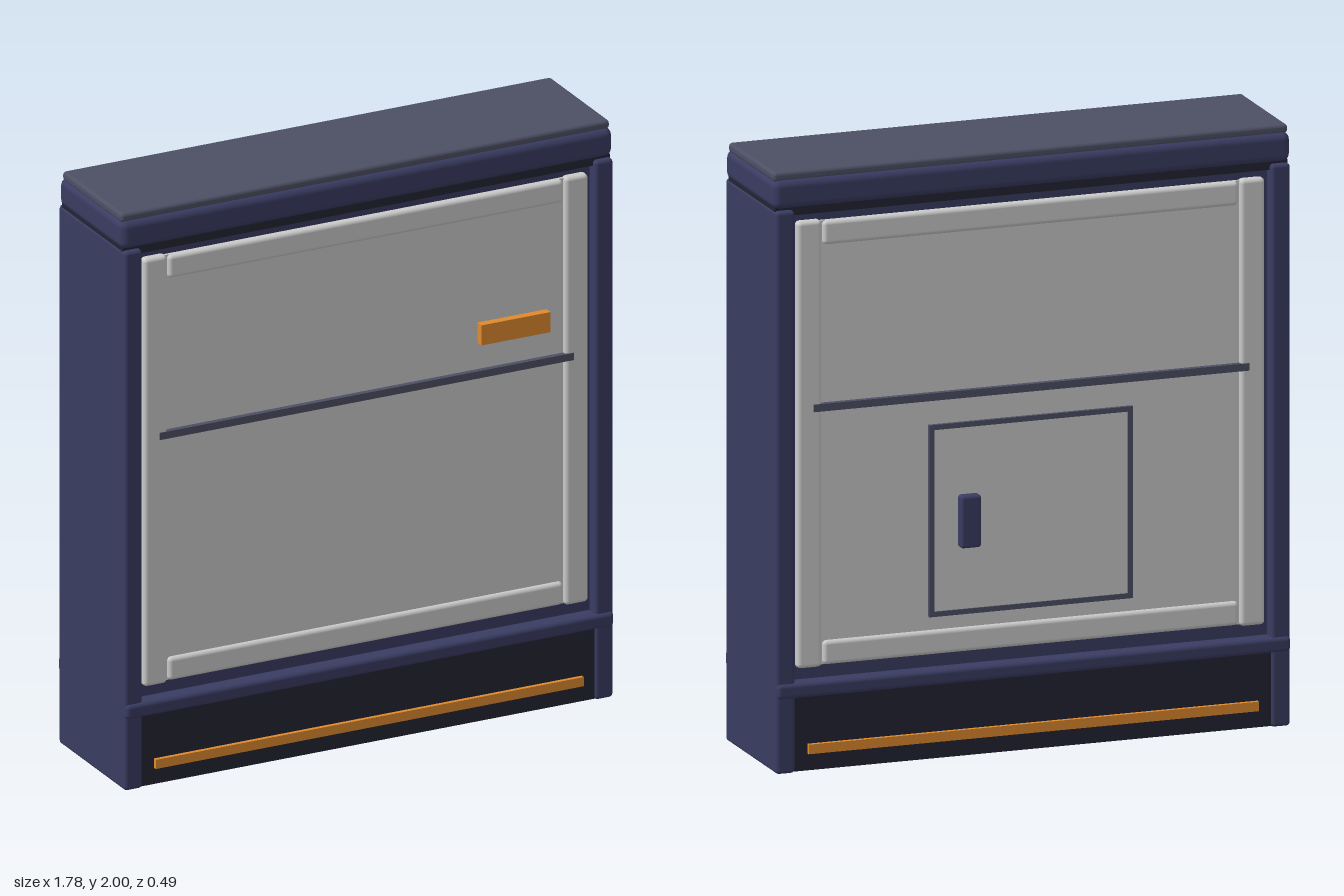
import * as THREE from 'three';
import { RoundedBoxGeometry } from 'three/addons/geometries/RoundedBoxGeometry.js';

const mat = (color) => new THREE.MeshStandardMaterial({ color });

export function createModel() {
  const root = new THREE.Group();
  root.name = 'cabinet';
  const navy = mat(0x3a3c62), slate = mat(0x4d5064), dark = mat(0x222432);
  const orange = mat(0xe08a2e), grey = mat(0xcccccc);

  // Box given by its extents on each axis; r > 0 rounds the edges
  function box(parent, name, material, [x0, x1], [y0, y1], [z0, z1], r = 0) {
    const size = [x1 - x0, y1 - y0, z1 - z0];
    const geo = r ? new RoundedBoxGeometry(...size, 3, r) : new THREE.BoxGeometry(...size);
    const mesh = new THREE.Mesh(geo, material);
    mesh.position.set((x0 + x1) / 2, (y0 + y1) / 2, (z0 + z1) / 2);
    mesh.name = name;
    parent.add(mesh);
    return mesh;
  }

  // Carcass
  box(root, 'core', navy, [-0.83, 0.83], [0.24, 1.88], [-0.19, 0.19]);
  box(root, 'plinth', dark, [-0.835, 0.835], [0.003, 0.26], [-0.225, 0.225]);
  for (const s of [-1, 1]) {
    const x = s > 0 ? [0.82, 0.885] : [-0.885, -0.82];
    box(root, s > 0 ? 'leftSide' : 'rightSide', navy, x, [0, 1.875], [-0.235, 0.235], 0.012);
  }
  box(root, 'topTrim', dark, [-0.882, 0.882], [1.855, 1.885], [-0.215, 0.215]);
  box(root, 'band', navy, [-0.884, 0.884], [0.25, 0.3], [-0.245, 0.245], 0.014);
  box(root, 'cap', navy, [-0.89, 0.89], [1.877, 1.975], [-0.225, 0.225], 0.025);
  box(root, 'topPlate', slate, [-0.885, 0.885], [1.968, 2], [-0.21, 0.21], 0.012);

  // Panel dressing shared by both faces
  function makeFace(name) {
    const face = new THREE.Group();
    face.name = name;
    root.add(face);
    box(face, 'panel', grey, [-0.795, 0.795], [0.345, 1.825], [0.17, 0.2]);
    for (const s of [-1, 1]) {
      const x = s > 0 ? [0.72, 0.805] : [-0.805, -0.72];
      box(face, 'stile', grey, x, [0.34, 1.83], [0.17, 0.217], 0.014);
    }
    for (const y of [[0.345, 0.425], [1.745, 1.825]])
      box(face, 'rail', grey, [-0.715, 0.715], y, [0.17, 0.215], 0.014);
    box(face, 'crossBar', slate, [-0.75, 0.75], [1.193, 1.218], [0.19, 0.219]);
    box(face, 'baseStripe', orange, [-0.775, 0.775], [0.06, 0.092], [0.21, 0.239]);
    return face;
  }

  const front = makeFace('frontFace');
  box(front, 'label', orange, [0.41, 0.66], [1.31, 1.38], [0.19, 0.228]);

  const back = makeFace('backFace');
  back.rotation.y = Math.PI;

  // Service door: thin outline frame, leaf and handle
  const rect = (P, w, h) => new P([[-w, -h], [w, -h], [w, h], [-w, h]].map(([x, y]) => new THREE.Vector2(x, y)));
  const outline = rect(THREE.Shape, 0.35, 0.32);
  outline.holes.push(rect(THREE.Path, 0.333, 0.303));
  const doorFrame = new THREE.Mesh(
    new THREE.ExtrudeGeometry(outline, { depth: 0.02, bevelEnabled: false }), slate);
  doorFrame.name = 'doorFrame';
  doorFrame.position.set(0, 0.79, 0.192);
  back.add(doorFrame);
  box(back, 'doorLeaf', grey, [-0.334, 0.334], [0.486, 1.094], [0.18, 0.207]);
  box(back, 'doorHandle', navy, [-0.25, -0.18], [0.695, 0.87], [0.2, 0.24], 0.01);

  return root;
}
